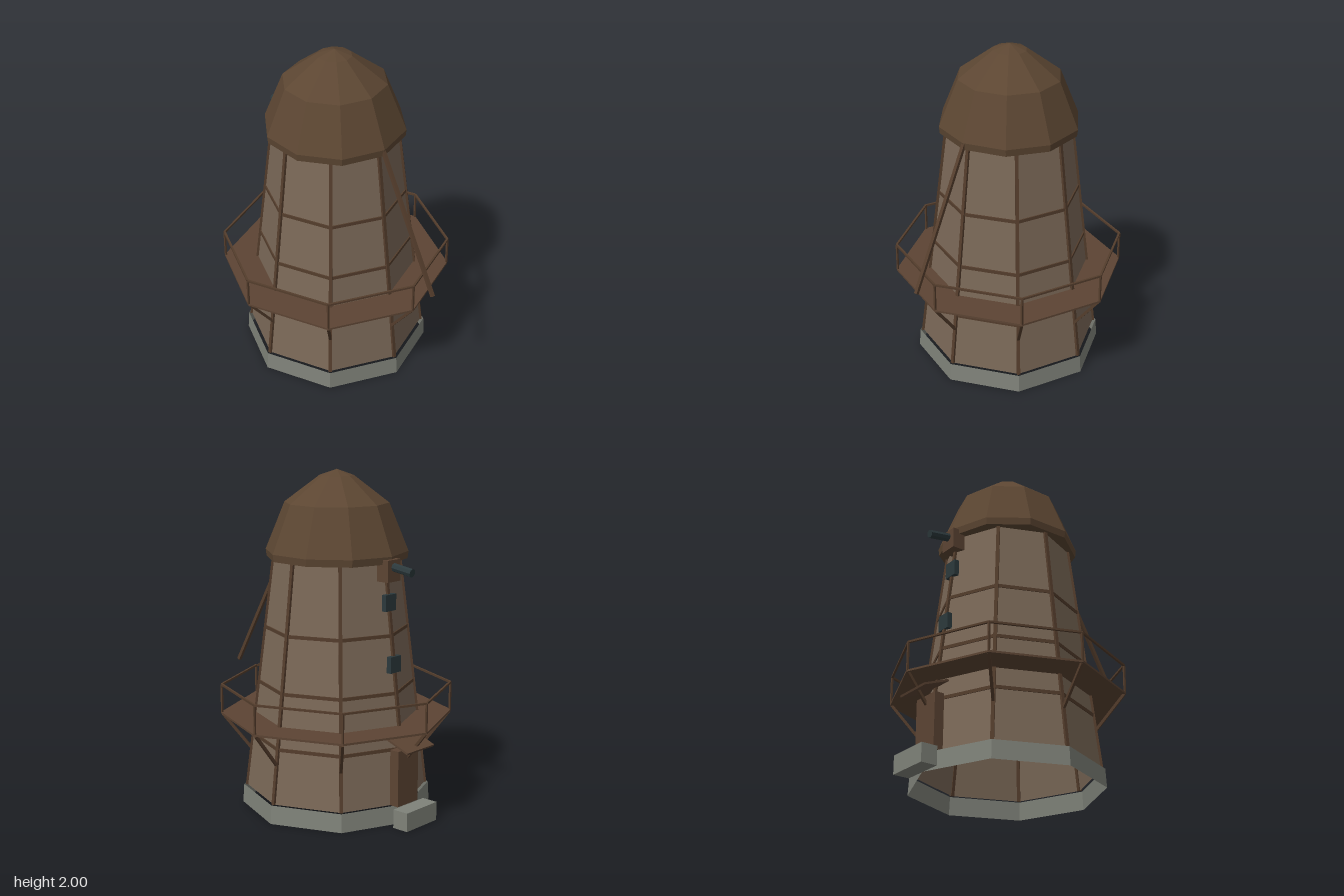
import * as THREE from 'three';

const mat = (name, color, extra = {}) => {
  const m = new THREE.MeshStandardMaterial({ color, flatShading: true, ...extra });
  m.name = name;
  return m;
};

export function createModel() {
  const both = { side: THREE.DoubleSide };
  const plaster = mat('wall boards', 0x7a6857, both);
  const roofing = mat('roof brown', 0x5c4632, both);
  const deckWood = mat('deck wood', 0x5c4433);
  const beamWood = mat('beam wood', 0x543d2c);
  const stone = mat('stone', 0x7f8279, both);
  const iron = mat('dark slate', 0x2c393c);

  const model = new THREE.Group();
  const mill = new THREE.Group();
  mill.name = 'mill';
  mill.position.x = -0.08; // tower axis
  model.add(mill);

  const add = (name, geometry, material, x = 0, y = 0, z = 0) => {
    const mesh = new THREE.Mesh(geometry, material);
    mesh.name = name;
    mesh.position.set(x, y, z);
    mill.add(mesh);
    return mesh;
  };
  const box = (name, material, size, pos) => add(name, new THREE.BoxGeometry(...size), material, ...pos);
  // square beam between two points
  const beam = (name, a, b, w, material = beamWood, h = w) => {
    const mesh = box(name, material, [w, h, a.distanceTo(b)], a.clone().lerp(b, 0.5).toArray());
    const up = new THREE.Vector3(0, 1, 0);
    mesh.quaternion.setFromRotationMatrix(new THREE.Matrix4().lookAt(b, a, up));
    return mesh;
  };
  // corner k of an octagon
  const corner = (k, r, y) => {
    const a = k * Math.PI / 4;
    return new THREE.Vector3(r * Math.sin(a), y, r * Math.cos(a));
  };
  const lathe = (points, sides) =>
    new THREE.LatheGeometry(points.map(p => new THREE.Vector2(...p)), sides);
  const wallRadius = y => 0.536 - 0.122 * (y - 0.11);

  // Stone base and tapering eight-sided tower, both open shells
  add('stoneBase', lathe([[0.563, 0], [0.556, 0.11]], 8), stone);
  add('towerWall', lathe([[wallRadius(0.11), 0.11], [wallRadius(1.51), 1.51]], 8), plaster);

  // Platform ring
  add('platform', lathe([[0.47, 0.55], [0.687, 0.55], [0.687, 0.562], [0.47, 0.562], [0.47, 0.55]], 8), deckWood);

  for (let k = 0; k < 8; k++) {
    // Tower framing
    beam('cornerPost', corner(k, wallRadius(0.11), 0.11), corner(k, wallRadius(1.5), 1.5), 0.02);
    for (const y of [0.43, 0.75, 1.08]) {
      const r = wallRadius(y);
      beam('wallBeam', corner(k, r, y), corner(k + 1, r, y), 0.012, beamWood, 0.02);
    }
    // Railing and brackets
    beam('railPost', corner(k, 0.681, 0.56), corner(k, 0.681, 0.73), 0.011);
    beam('handRail', corner(k, 0.681, 0.73), corner(k + 1, 0.681, 0.73), 0.012);
    beam('bracket', corner(k, 0.675, 0.55), corner(k, 0.51, 0.34), 0.016);
  }

  // Ten-sided cap
  const cap = add('domeCap', lathe(
    [[0, 1.49], [0.413, 1.49], [0.418, 1.532], [0.305, 1.81], [0.1, 1.965], [0, 2]], 10), roofing);
  cap.rotation.y = Math.PI / 2;

  // Tail pole leaning out from the cap
  beam('tailPole', new THREE.Vector3(0.39, 1.55, 0), new THREE.Vector3(0.835, 0.747, 0), 0.02);

  // Shaft and its housing
  box('shaftHousing', deckWood, [0.08, 0.125, 0.11], [-0.395, 1.455, 0]);
  const shaft = add('shaft', new THREE.CylinderGeometry(0.025, 0.025, 0.2, 8), iron, -0.466, 1.47, 0);
  shaft.rotation.z = Math.PI / 2 + 0.15;

  // Windows on the entrance side
  box('upperWindow', iron, [0.03, 0.095, 0.09], [-0.4, 1.27, 0]);
  box('lowerWindow', iron, [0.03, 0.095, 0.09], [-0.44, 0.918, 0]);

  // Entrance: door, sloping porch roof and step
  box('door', deckWood, [0.06, 0.33, 0.18], [-0.525, 0.275, 0]);
  const porch = box('porchRoof', deckWood, [0.168, 0.012, 0.24], [-0.566, 0.482, 0]);
  porch.rotation.z = 0.37;
  box('step', stone, [0.1, 0.11, 0.27], [-0.61, 0.055, 0]);

  return model;
}
